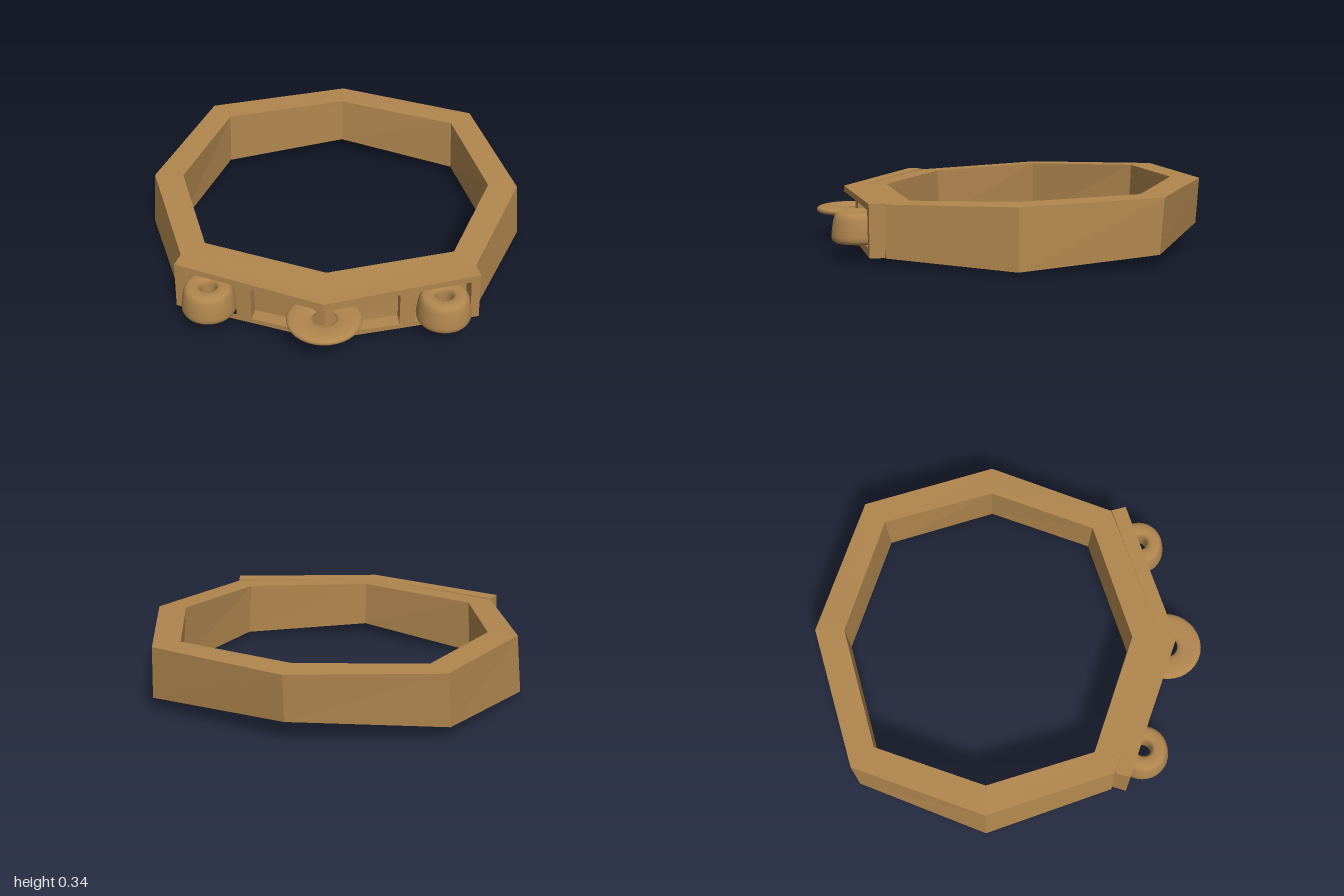
import * as THREE from 'three';

const leather = new THREE.MeshStandardMaterial({ color: 0xb0864e, flatShading: true });
const smooth = new THREE.MeshStandardMaterial({ color: 0xb0864e });

// Half of the belt's sections, front to back; each: outer bottom, outer top, inner top, inner bottom
const HALF = [
  [[0, 0.06, 0.79], [0, 0.28, 0.79], [0, 0.29, 0.63], [0, 0.06, 0.62]],
  [[0.74, 0.03, 0.53], [0.72, 0.285, 0.53], [0.615, 0.29, 0.43], [0.63, 0.02, 0.42]],
  [[0.975, 0.015, -0.11], [0.95, 0.31, -0.11], [0.8, 0.315, -0.11], [0.83, 0, -0.11]],
  [[0.735, 0.06, -0.76], [0.72, 0.33, -0.78], [0.615, 0.33, -0.67], [0.625, 0.045, -0.66]],
  [[0, 0.1, -0.985], [0, 0.335, -1], [0, 0.34, -0.85], [0, 0.09, -0.84]],
];

function beltGeometry() {
  const mirrored = HALF.slice(1, 4).reverse().map(s => s.map(([x, y, z]) => [-x, y, z]));
  const sections = [...HALF, ...mirrored];
  const pos = [];
  sections.forEach((a, i) => {
    const b = sections[(i + 1) % sections.length];
    for (let k = 0; k < 4; k++) {
      const n = (k + 1) % 4;
      pos.push(...a[k], ...b[k], ...b[n], ...a[k], ...b[n], ...a[n]);
    }
  });
  const g = new THREE.BufferGeometry();
  g.setAttribute('position', new THREE.Float32BufferAttribute(pos, 3));
  g.computeVertexNormals();
  return g;
}

// One half of the folded buckle plate, with half the centre window and a side pocket
function plateGeometry(side) {
  const path = pts => pts.map(([x, y]) => new THREE.Vector2(x * side, y));
  const shape = new THREE.Shape(path([
    [0, 0.06], [0.74, 0.03], [0.735, 0.29], [0, 0.28],
    [0, 0.25], [0.355, 0.255], [0.355, 0.07], [0, 0.09],
  ]));
  shape.holes.push(new THREE.Path(path([[0.43, 0.075], [0.7, 0.075], [0.69, 0.255], [0.43, 0.255]])));
  const depth = 0.075;
  const g = new THREE.ExtrudeGeometry(shape, { depth, bevelEnabled: false });
  const p = g.attributes.position;
  for (let i = 0; i < p.count; i++) {
    const x = p.getX(i), front = p.getZ(i) / depth;
    // fold back from the middle; the outer end narrows towards the belt
    p.setX(i, x * (0.98 + 0.03 * front));
    p.setZ(i, p.getZ(i) - depth + 0.857 - 0.34 * Math.abs(x));
  }
  g.computeVertexNormals();
  return g;
}

// Ring with a rounded-box section that can narrow towards its top
function ringGeometry(radius, halfWidth, halfHeight, power, taper) {
  const bend = v => Math.sign(v) * Math.pow(Math.abs(v), power);
  const pts = [];
  for (let i = 0; i <= 20; i++) {
    const t = Math.PI + (i / 20) * Math.PI * 2;
    const v = bend(Math.sin(t));
    const r = radius + halfWidth * bend(Math.cos(t));
    pts.push(new THREE.Vector2(r * (1 - taper * v), halfHeight * v));
  }
  return new THREE.LatheGeometry(pts, 32);
}

export function createModel() {
  const group = new THREE.Group();
  const add = (name, geometry, material, x = 0, y = 0, z = 0) => {
    const mesh = new THREE.Mesh(geometry, material);
    mesh.name = name;
    mesh.position.set(x, y, z);
    group.add(mesh);
  };

  add('beltBand', beltGeometry(), leather);
  add('centreRing', ringGeometry(0.12, 0.062, 0.02, 0.8, 0), smooth, 0, 0.16, 0.818);

  for (const side of [1, -1]) {
    const prefix = side > 0 ? 'left' : 'right';
    add(prefix + 'BucklePlate', plateGeometry(side), leather);
    add(prefix + 'Roller', ringGeometry(0.085, 0.045, 0.076, 0.55, 0.09), smooth, side * 0.57, 0.157, 0.683);
  }
  return group;
}
